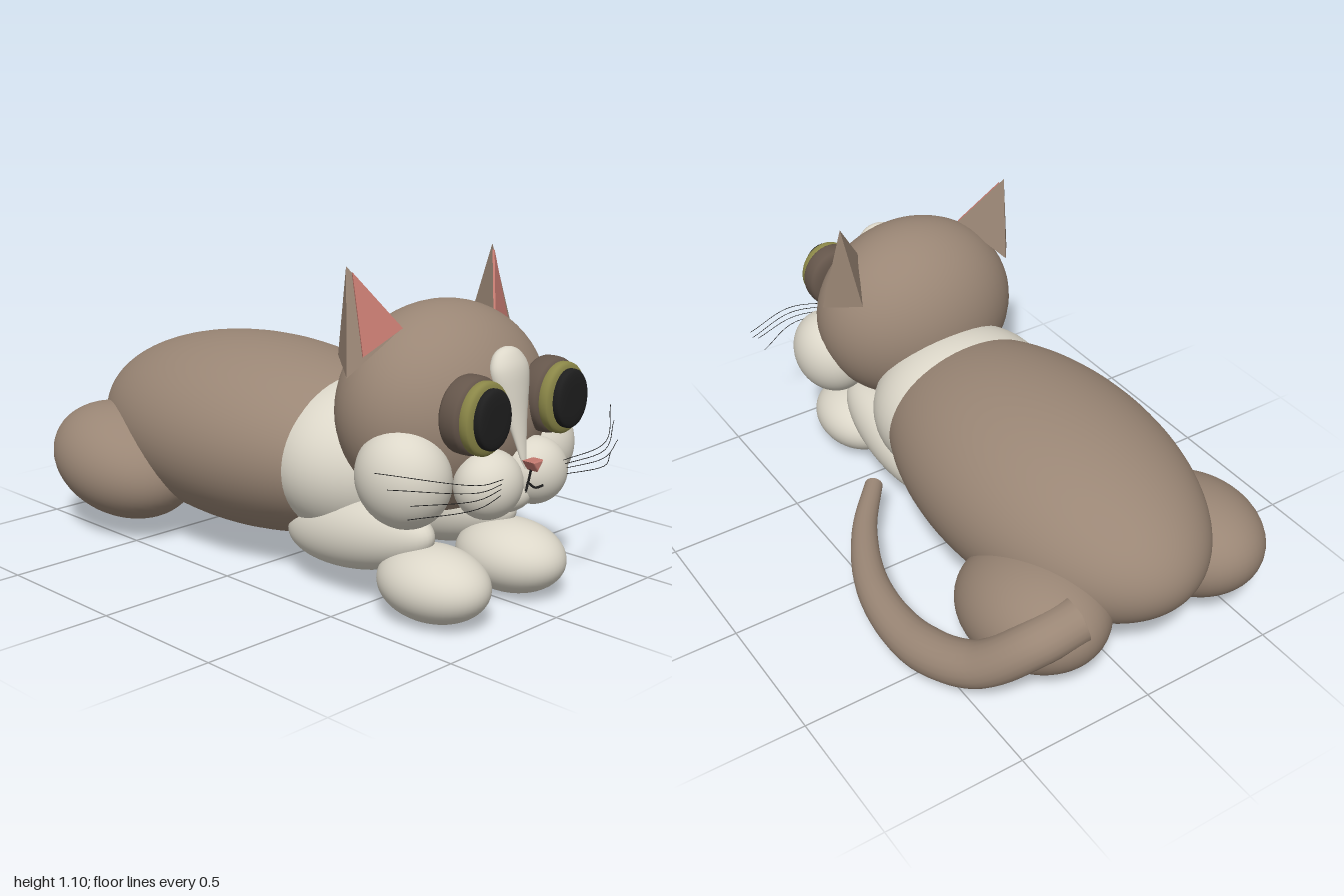
import * as THREE from 'three';
import { ConvexGeometry } from 'three/addons/geometries/ConvexGeometry.js';

const V = (x, y, z) => new THREE.Vector3(x, y, z);

function material(name, color) {
  const m = new THREE.MeshStandardMaterial({ color });
  m.name = name;
  return m;
}

export function createModel() {
  const fur = material('brown fur', 0x9a8675);
  const white = material('cream fur', 0xdcd7c9);
  const socket = material('dark brown', 0x65564b);
  const olive = material('olive iris', 0x8b8748);
  const black = material('black', 0x1e1e1e);
  const pink = material('pink', 0xc47a70);

  const root = new THREE.Group();
  root.name = 'lyingCat';
  const cat = new THREE.Group();
  cat.name = 'cat';
  cat.position.x = -0.095; // the tail makes the model lopsided
  root.add(cat);

  function add(name, geometry, mat) {
    const mesh = new THREE.Mesh(geometry, mat);
    mesh.name = name;
    cat.add(mesh);
    return mesh;
  }
  function ellipsoid(name, mat, pos, radii) {
    const mesh = add(name, new THREE.SphereGeometry(1, 48, 32), mat);
    mesh.position.set(...pos);
    mesh.scale.set(...radii);
    return mesh;
  }
  // rounded oval disc facing +z
  function disc(name, mat, pos, rx, ry, half) {
    const profile = [];
    for (let i = 0; i <= 16; i++) {
      const a = -Math.PI / 2 + (Math.PI * i) / 16;
      const r = Math.sqrt(Math.max(0, Math.cos(a)));
      profile.push(new THREE.Vector2(i % 16 ? r : 0, Math.sign(a) * Math.sqrt(Math.abs(Math.sin(a)))));
    }
    const geo = new THREE.LatheGeometry(profile, 48).rotateX(Math.PI / 2).scale(rx, ry, half);
    add(name, geo, mat).position.set(...pos);
  }
  function tube(name, mat, points, radius, sides = 5) {
    return add(name, new THREE.TubeGeometry(new THREE.CatmullRomCurve3(points), 14, radius, sides), mat);
  }

  // Body, open at the front where the chest takes over
  const bodyGeo = new THREE.SphereGeometry(1, 64, 48, 0, Math.PI * 2, 0, Math.acos(-0.61));
  bodyGeo.rotateX(-Math.PI / 2).scale(0.435, 0.338, 0.75);
  add('body', bodyGeo, fur).position.set(0, 0.4, -0.25);
  ellipsoid('chest', white, [0, 0.4, 0.25], [0.345, 0.274, 0.3]);
  ellipsoid('head', fur, [0, 0.638, 0.592], [0.381, 0.338, 0.3]);
  ellipsoid('chin', white, [0, 0.4, 0.86], [0.1, 0.055, 0.07]);

  // Blaze between the eyes: flattened teardrop
  const drop = [[0, -0.2], [0.012, -0.17], [0.025, -0.11], [0.045, -0.03], [0.066, 0.04],
    [0.078, 0.09], [0.075, 0.125], [0.055, 0.158], [0.028, 0.175], [0, 0.18]];
  const dropCurve = new THREE.SplineCurve(drop.map(p => new THREE.Vector2(...p)));
  const dropPoints = dropCurve.getPoints(36).map(p => new THREE.Vector2(Math.max(0, p.x), p.y));
  const blaze = add('blaze', new THREE.LatheGeometry(dropPoints, 32).scale(1, 1, 0.55), white);
  blaze.position.set(0, 0.69, 0.885);
  blaze.rotation.x = -0.24;

  // Nose: small triangle pointing down
  const noseShape = new THREE.Shape();
  noseShape.moveTo(-0.02, 0.012).lineTo(0, -0.012).lineTo(0.02, 0.012).closePath();
  const nose = add('nose', new THREE.ExtrudeGeometry(noseShape, {
    depth: 0.03, bevelSize: 0.005, bevelThickness: 0.008, bevelSegments: 3 }), pink);
  nose.position.set(0, 0.515, 0.945);
  tube('mouthLine', black, [V(0, 0.5, 0.955), V(0, 0.475, 0.95), V(0, 0.452, 0.945)], 0.004);

  // Paired parts
  for (const s of [1, -1]) {
    const side = s > 0 ? 'left' : 'right';

    const haunch = ellipsoid(side + 'Haunch', fur, [s * 0.325, 0.262, -0.66], [0.235, 0.197, 0.305]);
    haunch.rotation.x = 0.2;
    const leg = ellipsoid(side + 'FrontLeg', white, [s * 0.2, 0.215, 0.42], [0.11, 0.12, 0.32]);
    leg.rotation.x = -0.18;
    ellipsoid(side + 'Paw', white, [s * 0.188, 0.124, 0.735], [0.154, 0.12, 0.198]);

    const cheek = ellipsoid(side + 'Cheek', white, [s * 0.3, 0.482, 0.705], [0.138, 0.16, 0.158]);
    cheek.rotation.z = -s * 0.2;
    const muzzle = ellipsoid(side + 'Muzzle', white, [s * 0.11, 0.46, 0.88], [0.116, 0.108, 0.1]);
    muzzle.rotation.z = -s * 0.12;
    tube(side + 'MouthHook', black,
      [V(0, 0.455, 0.945), V(s * 0.022, 0.437, 0.956), V(s * 0.046, 0.442, 0.968)], 0.004);

    // Eye: socket, iris, pupil stacked forwards
    disc(side + 'EyeSocket', socket, [s * 0.186, 0.689, 0.87], 0.115, 0.122, 0.048);
    disc(side + 'Iris', olive, [s * 0.186, 0.687, 0.922], 0.102, 0.114, 0.025);
    disc(side + 'Pupil', black, [s * 0.186, 0.689, 0.952], 0.077, 0.094, 0.02);

    // Ear: four-cornered wedge with a pink inset on its front face
    const tip = V(s * 0.341, 1.108, 0.5);
    const outer = V(s * 0.397, 0.782, 0.56);
    const inner = V(s * 0.215, 0.917, 0.615);
    const back = V(s * 0.305, 0.82, 0.43);
    add(side + 'Ear', new ConvexGeometry([tip, outer, inner, back]), fur);
    const n = new THREE.Triangle(tip, outer, inner).getNormal(V(0, 0, 0));
    if (n.dot(back.clone().sub(tip)) > 0) n.negate();
    const inset = [tip.clone().lerp(inner, 0.1), outer.clone().lerp(inner, 0.3).lerp(tip, 0.06), inner];
    add(side + 'InnerEar', new ConvexGeometry(
      inset.flatMap(p => [p, p.clone().addScaledVector(n, 0.007)])), pink);

    // Whiskers: start height, end x, y, z
    for (const [y0, x, y, z] of [[0.5, 0.565, 0.582, 0.84], [0.487, 0.545, 0.535, 0.87],
      [0.473, 0.5, 0.488, 0.92], [0.455, 0.49, 0.44, 0.9]]) {
      tube(side + 'Whisker', black, [V(s * 0.14, y0, 0.965),
        V(s * 0.31, y0 + (y - y0) * 0.3, 0.996), V(s * x, y, z)], 0.0013, 3);
    }
  }

  // Tail: tube tapering towards the tip, both ends closed
  const path = new THREE.CatmullRomCurve3([V(0.295, 0.38, -0.89), V(0.455, 0.33, -0.865),
    V(0.59, 0.195, -0.73), V(0.67, 0.138, -0.5), V(0.655, 0.13, -0.2),
    V(0.535, 0.135, 0.08), V(0.365, 0.147, 0.3)]);
  const steps = 72, sides = 20;
  const tailGeo = new THREE.TubeGeometry(path, steps, 1, sides);
  const pos = tailGeo.attributes.position;
  const p = V(0, 0, 0);
  for (let i = 0; i <= steps; i++) {
    const t = i / steps;
    const c = path.getPointAt(t);
    const r = i === 0 || i === steps ? 0 : 0.078 - 0.046 * Math.max(0, (t - 0.4) / 0.6);
    for (let j = 0; j <= sides; j++) {
      const k = i * (sides + 1) + j;
      p.fromBufferAttribute(pos, k).sub(c).multiplyScalar(r).add(c);
      pos.setXYZ(k, p.x, p.y, p.z);
    }
  }
  add('tail', tailGeo, fur);

  return root;
}
